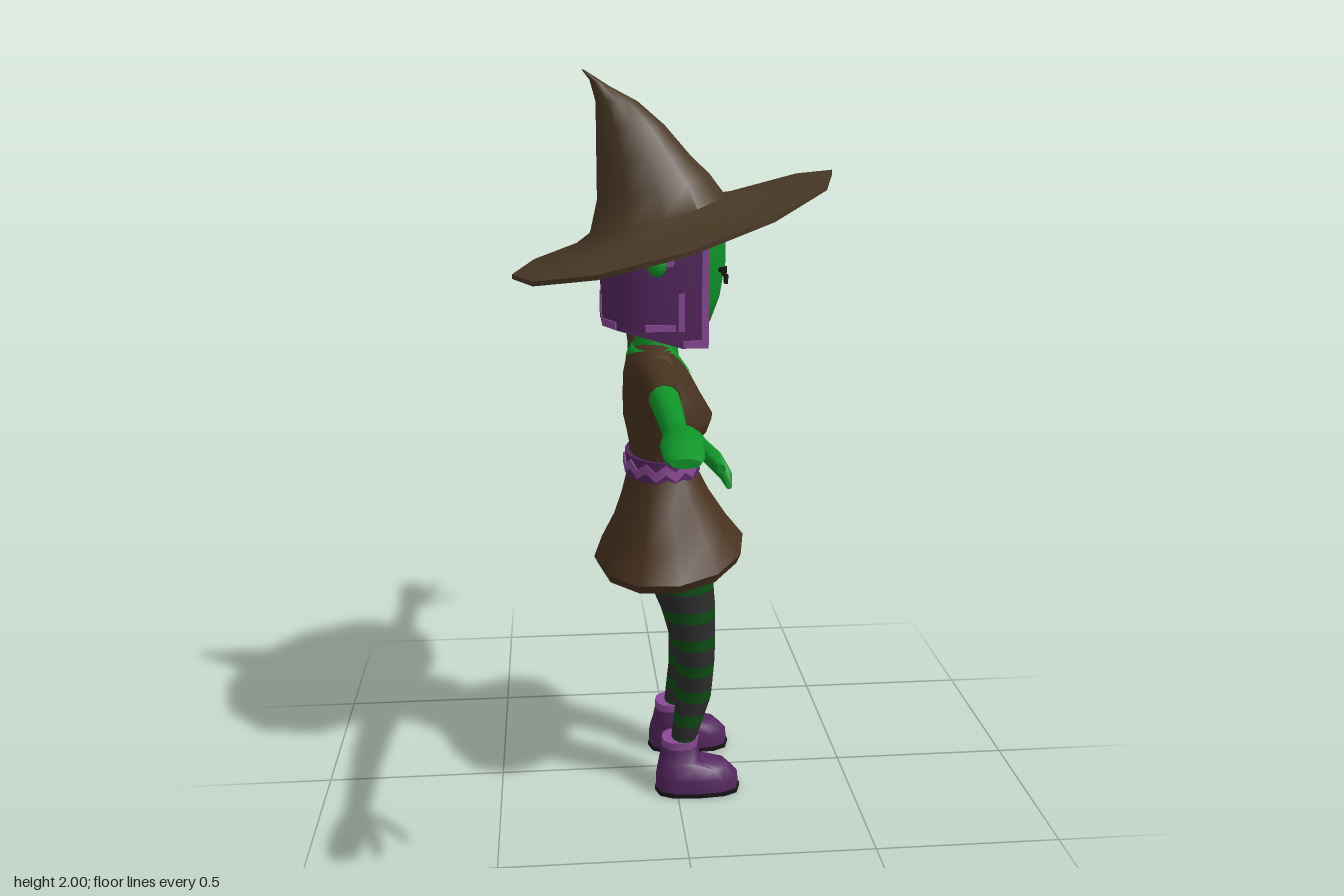
import * as THREE from 'three';
import { toCreasedNormals } from 'three/addons/utils/BufferGeometryUtils.js';

const mat = (name, color) => {
  const m = new THREE.MeshStandardMaterial({ color });
  m.name = name;
  return m;
};

// Closed loft. Ring: [centre x, height, centre z, radius x, radius z, slope, bend].
// axis 'z' runs the heights along z (ring centre z is then height); s = -1 mirrors in z.
function loft(rings, { n = 12, p = 2, axis = 'y', s = 1 } = {}) {
  const pos = [], idx = [];
  const soft = v => Math.sign(v) * Math.abs(v) ** (2 / p);
  const put = (x, y, z) => axis === 'z' ? pos.push(x, z, y * s) : pos.push(x, y, z * s);
  for (const [cx, y, cz, rx, rz, slope = 0, bend = 0] of rings) {
    for (let j = 0; j < n; j++) {
      const a = j / n * Math.PI * 2, dx = rx * soft(Math.cos(a));
      put(cx + dx, y + slope * dx + bend * dx * dx, cz + rz * soft(Math.sin(a)));
    }
  }
  for (let i = 0; i < rings.length - 1; i++) for (let j = 0; j < n; j++) {
    const a = i * n + j, b = i * n + (j + 1) % n;
    idx.push(a, a + n, b, b, a + n, b + n);
  }
  const last = rings.length - 1, c = rings.length * n;
  put(rings[0][0], rings[0][1], rings[0][2]);
  put(rings[last][0], rings[last][1], rings[last][2]);
  for (let j = 0; j < n; j++) {
    const k = (j + 1) % n;
    idx.push(c, j, k, c + 1, last * n + k, last * n + j);
  }
  if ((s < 0) !== (axis === 'z')) idx.reverse();
  const g = new THREE.BufferGeometry();
  g.setAttribute('position', new THREE.Float32BufferAttribute(pos, 3));
  g.setIndex(idx);
  return toCreasedNormals(g, 0.95);
}

// Ring of a stack at a given height
function ringAt(rings, y) {
  let i = 0;
  while (i < rings.length - 2 && rings[i + 1][1] < y) i++;
  const t = (y - rings[i][1]) / (rings[i + 1][1] - rings[i][1]);
  return rings[i].map((v, k) => v + (rings[i + 1][k] - v) * t);
}

export function createModel() {
  const root = new THREE.Group();
  root.name = 'witch';
  const hatBrown = mat('hat brown', 0x4a3926), dressBrown = mat('dress brown', 0x48321f);
  const skin = mat('green skin', 0x0f9529), purple = mat('purple', 0x54265f);
  const lilac = mat('lilac', 0x8c4a98), gray = mat('stocking gray', 0x2e2d2d);
  const darkGreen = mat('stocking green', 0x0d4d14), black = mat('black', 0x171517);
  const vee = mat('neckline green', 0x0f9529);
  vee.side = THREE.DoubleSide;
  const add = (name, geo, m) => {
    const mesh = new THREE.Mesh(geo, m);
    mesh.name = name;
    root.add(mesh);
    return mesh;
  };
  const box = (name, m, w, h, d, x, y, z, ry = 0, rz = 0) => {
    const b = add(name, new THREE.BoxGeometry(w, h, d), m);
    b.position.set(x, y, z);
    b.rotation.set(0, ry, rz);
  };

  // Pointed hat with tilted brim
  add('hat', loft([
    [0, 1.575, 0, 0.01, 0.01], [0, 1.57, 0, 0.43, 0.44, 0.314, 0.135],
    [0, 1.582, 0, 0.43, 0.44, 0.314, 0.135], [-0.01, 1.61, 0, 0.28, 0.29, 0.3],
    [-0.04, 1.63, 0, 0.18, 0.19, 0.28], [-0.05, 1.7, 0, 0.15, 0.155, 0.22],
    [-0.075, 1.78, 0, 0.125, 0.115, 0], [-0.11, 1.86, 0, 0.09, 0.082, 0],
    [-0.145, 1.92, 0, 0.055, 0.052, 0], [-0.19, 1.967, 0, 0.025, 0.026, -0.3],
    [-0.232, 2, 0, 0.003, 0.003]]), hatBrown);

  // Head and neck
  const head = [[0.015, 1.315, 0, 0.05, 0.055], [0.01, 1.345, 0, 0.095, 0.09],
    [0, 1.41, 0, 0.13, 0.112], [-0.005, 1.5, 0, 0.15, 0.12], [-0.005, 1.6, 0, 0.15, 0.12]];
  add('head', loft(head, { n: 16, p: 2.4 }), skin);
  add('neck', loft([[-0.05, 1.2, 0, 0.075, 0.09], [-0.045, 1.27, 0, 0.06, 0.065],
    [-0.035, 1.38, 0, 0.055, 0.055]]), skin);

  // Face
  for (const s of [1, -1]) {
    box('eye', black, 0.008, 0.018, 0.048, 0.134, 1.483, s * 0.06, -s * 0.25);
    box('eyelash', black, 0.008, 0.012, 0.014, 0.122, 1.49, s * 0.088, -s * 0.5);
    box('mouthCorner', black, 0.008, 0.012, 0.012, 0.146, 1.462, s * 0.022);
    const ear = add('ear', new THREE.SphereGeometry(0.032, 10, 8), skin);
    ear.scale.set(0.8, 1, 0.5);
    ear.position.set(-0.055, 1.515, s * 0.174);
  }
  box('mouth', black, 0.008, 0.018, 0.04, 0.146, 1.45, 0);

  // Hair: U-shaped curtain, open at the face
  const half = [[0.08, 0.112], [0.08, 0.165], [0.012, 0.168], [0, 0.169], [-0.08, 0.168],
    [-0.155, 0.14], [-0.192, 0.06]];
  const inner = [[-0.15, 0.05], [-0.12, 0.11], [0, 0.118], [0.012, 0.117]];
  const outline = [...half, ...half.slice(1).reverse().map(([x, z]) => [x, -z]),
    [0.08, -0.112], ...[...inner].reverse().map(([x, z]) => [x, -z]), ...inner];
  const hair = new THREE.ExtrudeGeometry(
    new THREE.Shape(outline.map(q => new THREE.Vector2(...q))), { depth: 1, bevelEnabled: false });
  hair.rotateX(-Math.PI / 2);
  const hp = hair.attributes.position;
  for (let i = 0; i < hp.count; i++) {
    const x = hp.getX(i);
    hp.setY(i, hp.getY(i) > 0.5 ? 1.565 + 0.3 * x : x > 0.005 ? 1.295 : 1.34);
  }
  hair.computeVertexNormals();
  add('hair', toCreasedNormals(hair, 0.8), purple);
  add('hairBand', loft([[-0.02, 1.535, 0, 0.175, 0.15, 0.28], [-0.02, 1.575, 0, 0.18, 0.152, 0.28]],
    { n: 16, p: 2.6 }), purple);
  add('fringe', loft([[-0.015, 1.528, 0, 0.172, 0.148, 0.28], [-0.015, 1.545, 0, 0.174, 0.148, 0.28]],
    { n: 16, p: 2.6 }), lilac);

  // Light streaks in the hair
  for (const s of [1, -1]) {
    box('lockEdge', lilac, 0.018, 0.27, 0.006, 0.072, 1.43, s * 0.166);
    box('lockFront', lilac, 0.006, 0.26, 0.018, 0.081, 1.44, s * 0.122);
    box('lockHem', lilac, 0.06, 0.02, 0.006, 0.045, 1.306, s * 0.167);
    box('sideHem', lilac, 0.08, 0.018, 0.006, -0.045, 1.35, s * 0.169);
    box('sideStreak', lilac, 0.016, 0.1, 0.006, 0.01, 1.39, s * 0.168);
    box('sideStreak', lilac, 0.02, 0.06, 0.006, -0.02, 1.54, s * 0.169);
    box('backHem', lilac, 0.006, 0.02, 0.075, -0.175, 1.352, s * 0.1, s * 0.43);
    box('backStreak', lilac, 0.006, 0.06, 0.02, -0.192, 1.39, s * 0.045);
  }

  // Bodice
  const torso = [[-0.03, 0.93, 0, 0.093, 0.15], [-0.03, 1, 0, 0.09, 0.145],
    [-0.015, 1.04, 0, 0.112, 0.155], [-0.012, 1.08, 0, 0.124, 0.165],
    [-0.03, 1.14, 0, 0.107, 0.165], [-0.045, 1.2, 0, 0.09, 0.165],
    [-0.055, 1.24, 0, 0.072, 0.17], [-0.055, 1.27, 0, 0.055, 0.13],
    [-0.055, 1.285, 0, 0.035, 0.07]];
  add('bodice', loft(torso, { n: 16 }), dressBrown);

  // V neckline laid on the bodice, front and shallow back
  for (const [dir, drop] of [[1, 0.095], [-1, 0.03]]) {
    const g = new THREE.PlaneGeometry(1, 1, 8, 8), gp = g.attributes.position;
    for (let i = 0; i < gp.count; i++) {
      const u = gp.getY(i) + 0.5, y = 1.276 - drop * (1 - u), z = gp.getX(i) * 0.19 * u;
      const [cx, , , rx, rz] = ringAt(torso, y);
      gp.setXYZ(i, cx + dir * (rx * Math.sqrt(Math.max(0, 1 - (z / rz) ** 2)) + 0.004), y, z);
    }
    g.computeVertexNormals();
    add('neckline', g, vee);
  }

  // Skirt, hollow below
  add('skirt', loft([
    [-0.02, 0.8, 0, 0.05, 0.08], [-0.01, 0.77, 0, 0.12, 0.2], [-0.01, 0.675, 0, 0.185, 0.295, 0.13],
    [-0.01, 0.67, 0, 0.2, 0.315, 0.13], [-0.01, 0.695, 0, 0.212, 0.328, 0.13],
    [-0.012, 0.77, 0, 0.165, 0.265, 0.08], [-0.02, 0.86, 0, 0.122, 0.195],
    [-0.03, 0.94, 0, 0.092, 0.15]]), dressBrown);

  // Belt with a zigzag
  const belt = [[-0.03, 0.92, 0, 0.104, 0.155], [-0.03, 0.98, 0, 0.102, 0.153]];
  add('belt', loft(belt, { n: 24 }), purple);
  const zig = loft([[-0.03, 0.937, 0, 0.108, 0.159], [-0.03, 0.962, 0, 0.107, 0.158]], { n: 24 });
  const zp = zig.attributes.position;
  for (let i = 0; i < zp.count; i++) {
    const a = Math.atan2(zp.getZ(i) / 0.158, (zp.getX(i) + 0.03) / 0.107);
    zp.setY(i, zp.getY(i) + 0.011 * Math.cos(a * 12));
  }
  add('beltZigzag', zig, lilac);

  const leg = [[0.015, 0.12, 0.12, 0.032, 0.046], [0.05, 0.28, 0.12, 0.05, 0.052],
    [0.055, 0.4, 0.122, 0.055, 0.06], [0.035, 0.55, 0.125, 0.075, 0.067],
    [0.005, 0.67, 0.12, 0.095, 0.08], [-0.01, 0.8, 0.1, 0.095, 0.085]];

  for (const s of [1, -1]) {
    // Arms and hands
    const limb = { axis: 'z', s };
    add('sleeve', loft([[-0.06, 0.08, 1.215, 0.06, 0.05], [-0.06, 0.17, 1.22, 0.053, 0.052],
      [-0.06, 0.3, 1.228, 0.045, 0.043], [-0.06, 0.46, 1.23, 0.041, 0.037]], limb), dressBrown);
    add('forearmAndHand', loft([[-0.06, 0.45, 1.23, 0.038, 0.035], [-0.06, 0.6, 1.227, 0.034, 0.032],
      [-0.06, 0.75, 1.22, 0.028, 0.027], [-0.05, 0.8, 1.22, 0.045, 0.031],
      [-0.053, 0.86, 1.223, 0.052, 0.031], [-0.06, 0.91, 1.228, 0.046, 0.024],
      [-0.062, 0.97, 1.225, 0.043, 0.019], [-0.062, 1, 1.222, 0.032, 0.011]], limb), skin);
    add('indexFinger', loft([[-0.02, 0.85, 1.218, 0.022, 0.02], [0.003, 0.91, 1.213, 0.016, 0.015],
      [0.012, 0.985, 1.205, 0.01, 0.01]], { ...limb, n: 8 }), skin);
    add('thumb', loft([[-0.02, 0.79, 1.212, 0.02, 0.018], [0.015, 0.84, 1.185, 0.02, 0.02],
      [0.036, 0.87, 1.16, 0.014, 0.016], [0.04, 0.9, 1.142, 0.007, 0.007]], { ...limb, n: 8 }), skin);

    // Striped stockings
    let y = 0.13, k = 0;
    while (y < 0.78) {
      const top = y + (k % 2 ? 0.034 + y * 0.035 : 0.034);
      add('stockingStripe', loft([ringAt(leg, y), ringAt(leg, top)], { s }), k % 2 ? gray : darkGreen);
      y = top;
      k++;
    }

    // Boots
    add('sole', loft([[0.06, 0, 0.135, 0.122, 0.065], [0.06, 0.012, 0.135, 0.122, 0.065]],
      { p: 2.8, s }), black);
    add('boot', loft([[0.06, 0.012, 0.135, 0.119, 0.063], [0.058, 0.05, 0.135, 0.117, 0.063],
      [0.046, 0.078, 0.133, 0.1, 0.055], [0.01, 0.092, 0.126, 0.06, 0.048],
      [0.01, 0.15, 0.12, 0.048, 0.045]], { p: 2.6, s }), purple);
    add('bootCuff', loft([[0.01, 0.135, 0.12, 0.052, 0.049], [0.012, 0.158, 0.12, 0.053, 0.05]],
      { p: 2.4, s }), lilac);
    box('toeShine', lilac, 0.04, 0.006, 0.03, 0.12, 0.073, s * 0.145, 0, -0.35);
  }
  return root;
}
